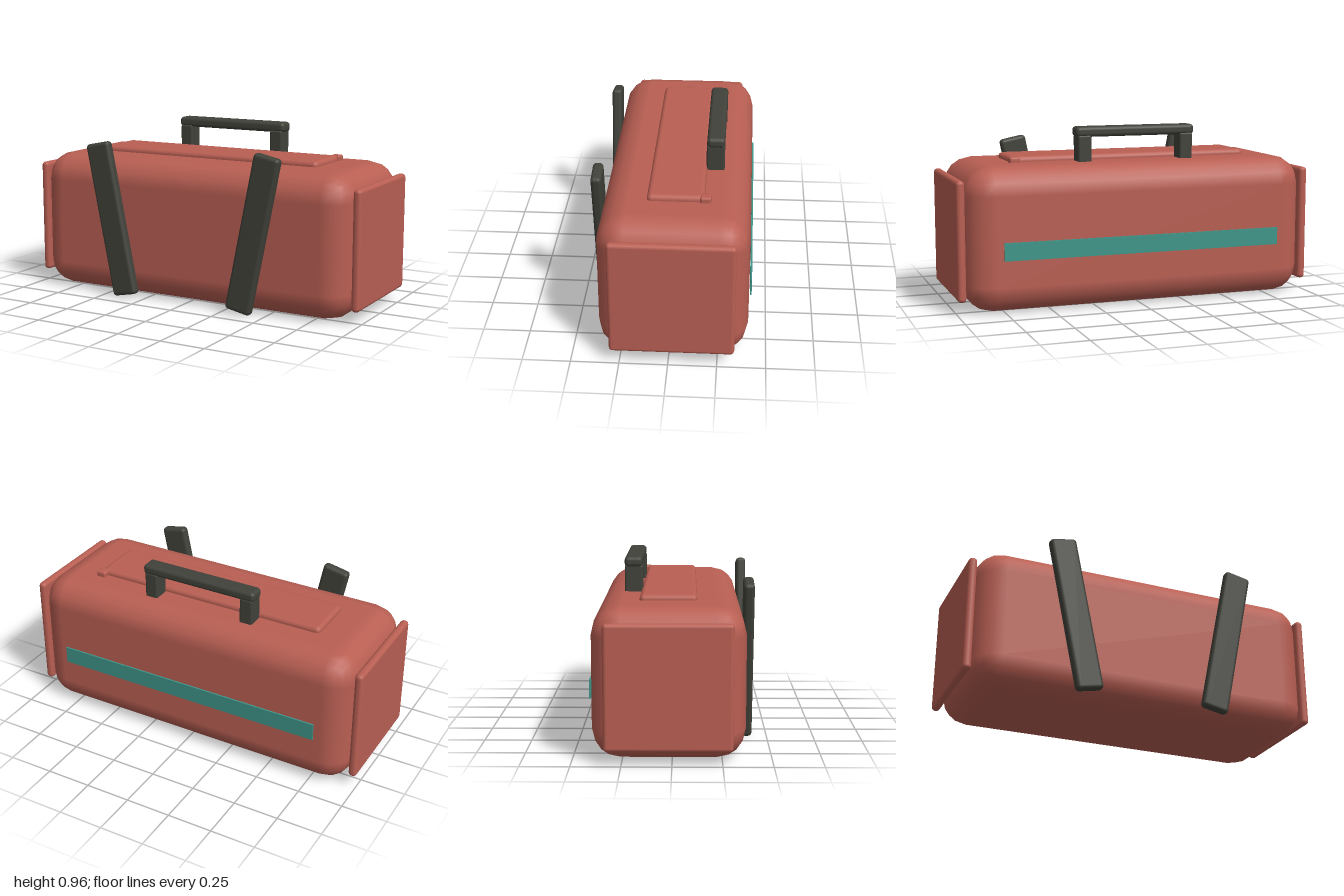
import * as THREE from 'three';
import { RoundedBoxGeometry } from 'three/addons/geometries/RoundedBoxGeometry.js';

const fabric = new THREE.MeshStandardMaterial({ name: 'red fabric', color: 0xb95f53 });
const webbing = new THREE.MeshStandardMaterial({ name: 'dark webbing', color: 0x41423a });
const trim = new THREE.MeshStandardMaterial({ name: 'teal trim', color: 0x3f958a });

// Rounded block given by its extents on each axis
function block(name, material, [x0, x1], [y0, y1], [z0, z1], radius, segments = 2) {
  const geometry = new RoundedBoxGeometry(x1 - x0, y1 - y0, z1 - z0, segments, radius);
  const mesh = new THREE.Mesh(geometry, material);
  mesh.position.set((x0 + x1) / 2, (y0 + y1) / 2, (z0 + z1) / 2);
  mesh.name = name;
  return mesh;
}

export function createModel() {
  const bag = new THREE.Group();
  bag.name = 'duffelBag';

  // Main body with soft, broad corners
  bag.add(block('body', fabric, [-0.955, 0.955], [0.005, 0.78], [-0.405, 0.37], 0.15));

  // Zipped lid panel and its pull tab
  bag.add(block('lidPanel', fabric, [-0.68, 0.675], [0.755, 0.81], [-0.168, 0.125], 0.025));
  bag.add(block('zipPull', fabric, [0.628, 0.685], [0.755, 0.81], [-0.203, -0.145], 0.012));

  // Carry handle bar
  bag.add(block('handleBar', webbing, [-0.34, 0.335], [0.91, 0.965], [-0.26, -0.165], 0.02));

  for (const side of [-1, 1]) {
    const label = side > 0 ? 'left' : 'right';

    // End panel
    const endX = side * 0.9775;
    bag.add(block(label + 'EndPanel', fabric, [endX - 0.0225, endX + 0.0225], [0.075, 0.712], [-0.338, 0.302], 0.02));

    // Handle post
    const postX = side * 0.29 - 0.003;
    bag.add(block(label + 'HandlePost', webbing, [postX - 0.037, postX + 0.037], [0.74, 0.92], [-0.259, -0.163], 0.01));

    // Shoulder strap leaning outward at the top
    const strap = block(label + 'Strap', webbing, [-0.075, 0.075], [-0.43, 0.43], [0.364, 0.42], 0.02);
    strap.position.x = side * 0.44;
    strap.position.y = 0.4425;
    strap.rotation.z = -side * 0.2;
    bag.add(strap);
  }

  // Thin stripe on the back
  const stripe = new THREE.Mesh(new THREE.BoxGeometry(1.55, 0.095, 0.009), trim);
  stripe.name = 'backStripe';
  stripe.position.set(-0.003, 0.345, -0.414);
  bag.add(stripe);

  return bag;
}
